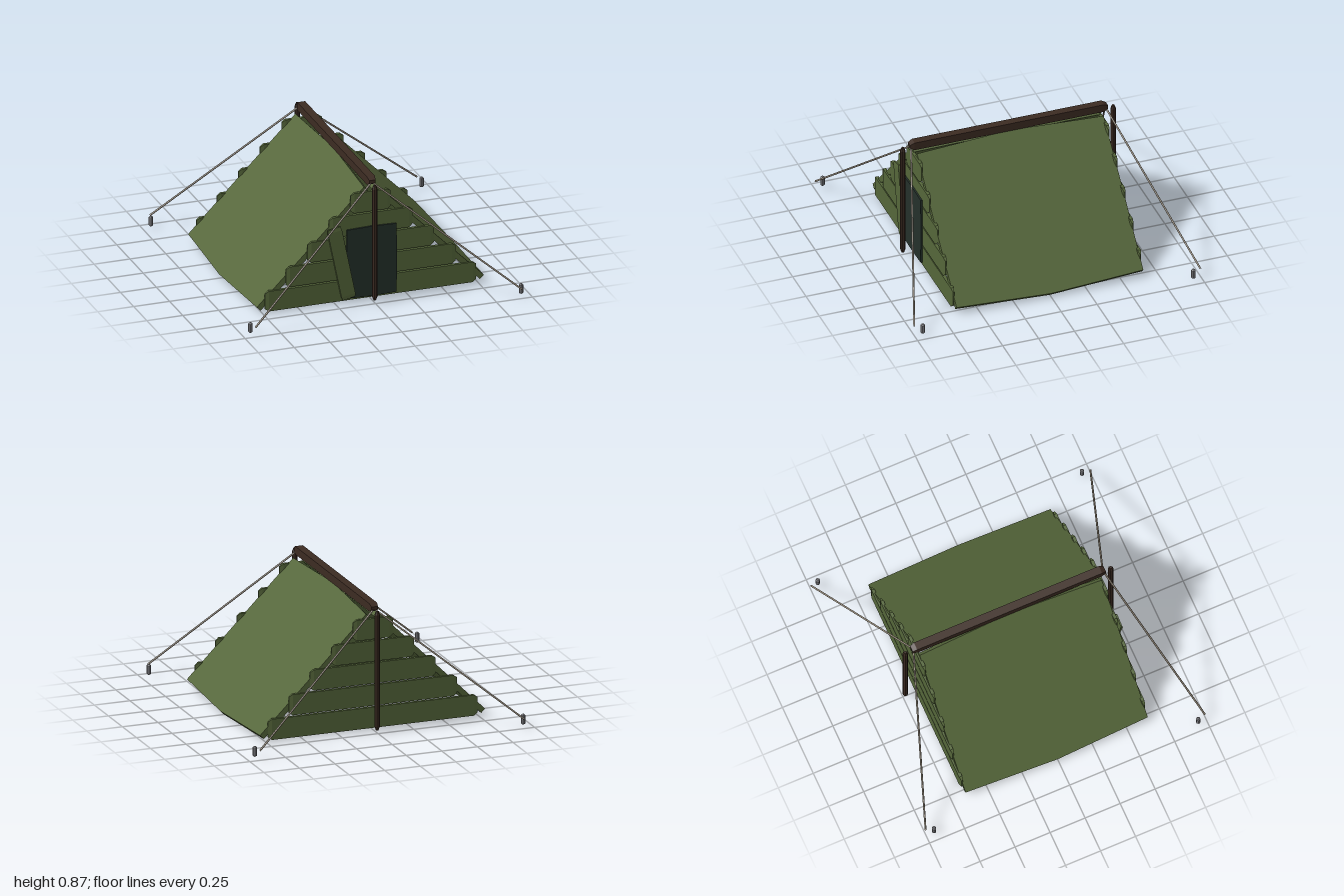
import * as THREE from 'three';

const mat = (name, color) => {
  const m = new THREE.MeshStandardMaterial({ color });
  m.name = name;
  return m;
};

// Apply a rule to every vertex, then give each face its own flat normal
function reshape(geometry, rule) {
  const p = geometry.attributes.position;
  const v = new THREE.Vector3();
  for (let i = 0; i < p.count; i++) {
    rule(v.fromBufferAttribute(p, i));
    p.setXYZ(i, v.x, v.y, v.z);
  }
  const flat = geometry.toNonIndexed();
  flat.computeVertexNormals();
  return flat;
}

// Bar along x whose ends taper to a smaller section
function taperedBar(length, height, depth, taper, endY, endZ) {
  return reshape(new THREE.BoxGeometry(length, height, depth, 3, 1, 1), (v) => {
    if (Math.abs(v.x) > length * 0.4) {
      v.y *= endY;
      v.z *= endZ;
    } else v.x = Math.sign(v.x) * (length / 2 - taper);
  });
}

// Sheet in the xy plane, its edges bowed outward at their middles
function bowedSheet(w, h, d, bowX, bowY) {
  return reshape(new THREE.BoxGeometry(w, h, d, 2, 2, 1), (v) => {
    if (Math.abs(v.y) < 0.001) v.x += Math.sign(Math.round(v.x * 1000)) * bowX;
    else if (Math.abs(v.x) < 0.001) v.y += Math.sign(v.y) * bowY;
  });
}

// Upright eight-sided post with blunt points
function post(radius, height, point) {
  const profile = [
    [0, 0], [radius * 0.5, 0], [radius, point],
    [radius, height - point], [radius * 0.5, height], [0, height],
  ].map(([x, y]) => new THREE.Vector2(x, y));
  return reshape(new THREE.LatheGeometry(profile, 8, Math.PI / 8), () => {});
}

export function createModel() {
  const root = new THREE.Group();
  root.name = 'tent';
  const canvas = mat('olive canvas', 0x55663a);
  const dark = mat('dark doorway', 0x24302a);
  const wood = mat('dark wood', 0x3c2b22);
  const rope = mat('rope', 0x8f8576);
  const metal = mat('grey metal', 0x808084);

  const add = (name, geometry, material, x = 0, y = 0, z = 0) => {
    const m = new THREE.Mesh(geometry, material);
    m.name = name;
    m.position.set(x, y, z);
    root.add(m);
    return m;
  };

  // Two sloping roof sheets
  const sheet = bowedSheet(1.054, 1.3, 0.038, 0.032, 0.003);
  sheet.rotateX(-Math.PI / 2);
  for (const s of [1, -1]) {
    const roof = add(s > 0 ? 'leftRoof' : 'rightRoof', sheet, canvas, s * 0.404, 0.414, 0);
    roof.rotation.z = -s * Math.PI / 4;
  }

  // End walls of five stacked strips
  const widths = [1.47, 1.18, 0.88, 0.58, 0.28];
  for (const s of [1, -1]) {
    widths.forEach((w, i) => {
      add(s > 0 ? 'frontWallStrip' : 'backWallStrip',
        taperedBar(w, 0.142, 0.022, 0.025, 0.75, 0.4), canvas, 0, 0.09 + i * 0.152, s * 0.651);
    });
  }

  // Doorway and the flap drawn aside
  add('doorway', bowedSheet(0.345, 0.485, 0.012, 0.003, 0.005), dark, 0.002, 0.277, 0.667);
  const flap = taperedBar(0.52, 0.098, 0.016, 0.025, 0.88, 0.6);
  flap.rotateZ(Math.PI / 2 + 0.2);
  add('doorFlap', flap, canvas, -0.211, 0.293, 0.677);

  // Ridge beam and upright poles
  const beam = taperedBar(1.38, 0.055, 0.055, 0.03, 0.4, 0.8);
  beam.rotateY(Math.PI / 2);
  add('ridgeBeam', beam, wood, 0, 0.847, 0);
  for (const s of [1, -1]) {
    add(s > 0 ? 'frontPole' : 'backPole', post(0.018, 0.815, 0.025), wood, 0, 0.025, s * 0.733);
  }

  // Guy ropes and ground pegs at the four corners
  for (const sx of [1, -1]) {
    for (const sz of [1, -1]) {
      const path = new THREE.LineCurve3(
        new THREE.Vector3(0, 0.84, sz * 0.676), new THREE.Vector3(sx * 0.928, 0.07, sz * 0.997));
      add('guyRope', new THREE.TubeGeometry(path, 1, 0.0065, 6), rope);
      add('peg', post(0.0145, 0.07, 0.006), metal, sx * 0.942, 0.017, sz * 0.943);
    }
  }
  return root;
}
